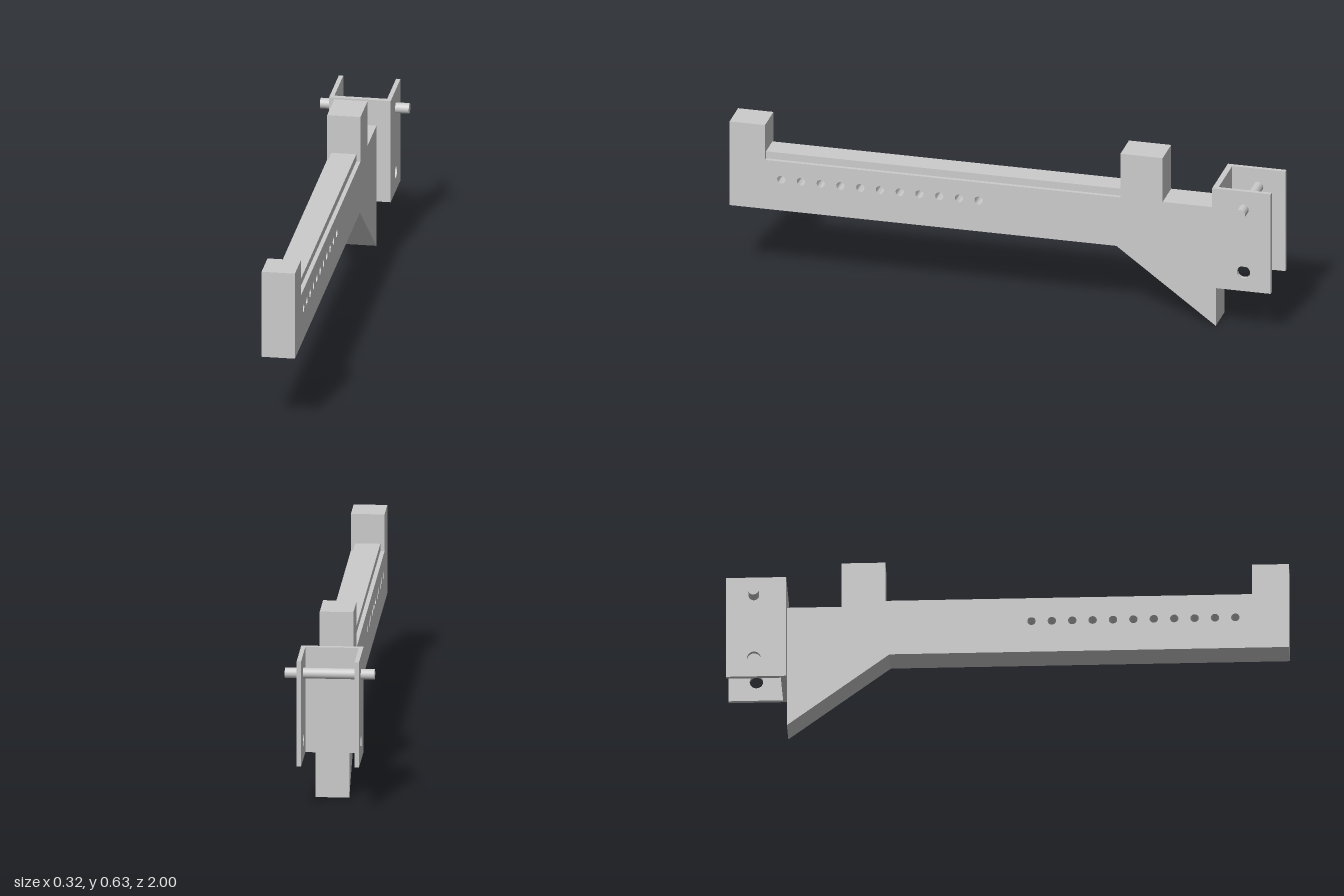
import * as THREE from 'three';
import { toCreasedNormals } from 'three/addons/utils/BufferGeometryUtils.js';

const material = new THREE.MeshStandardMaterial({ color: 0xcccccc });

function addPart(parent, name, geometry, x = 0, y = 0, z = 0) {
  const mesh = new THREE.Mesh(geometry, material);
  mesh.name = name;
  mesh.position.set(x, y, z);
  parent.add(mesh);
  return mesh;
}

// Side profile of [z, y] points with round [z, y, radius] holes, extruded across x and centred
function sidePlate(points, holes, width) {
  const shape = new THREE.Shape(points.map(([z, y]) => new THREE.Vector2(z, y)));
  for (const [z, y, r] of holes) {
    shape.holes.push(new THREE.Path().absarc(z, y, r, 0, Math.PI * 2, true));
  }
  const geometry = new THREE.ExtrudeGeometry(shape, { depth: width, bevelEnabled: false, curveSegments: 24 });
  geometry.rotateY(-Math.PI / 2).translate(width / 2, 0, 0);
  return toCreasedNormals(geometry, 0.6);
}

export function createModel() {
  const model = new THREE.Group();
  model.name = 'safetyArm';

  // Beam with end stop, rear post, gusset and a row of adjustment holes
  const profile = [
    [1, 0.27], [1, 0.595], [0.87, 0.595], [0.87, 0.46],
    [-0.435, 0.46], [-0.435, 0.63], [-0.59, 0.63], [-0.59, 0.46],
    [-0.785, 0.46], [-0.785, 0], [-0.42, 0.27],
  ];
  const holes = [];
  for (let i = 0; i < 11; i++) holes.push([0.085 + i * 0.0725, 0.39, 0.015]);
  addPart(model, 'beam', sidePlate(profile, holes, 0.12));

  // Protective strip lying between the two stops
  addPart(model, 'topStrip', new THREE.BoxGeometry(0.09, 0.027, 1.305), 0, 0.4735, 0.2175);

  // U-shaped mounting bracket, open to the back
  const bracket = new THREE.Group();
  bracket.name = 'bracket';
  model.add(bracket);
  const low = 0.17, high = 0.557, front = -0.785, back = -1, thick = 0.016, half = 0.111;
  addPart(bracket, 'bracketWeb',
    new THREE.BoxGeometry(2 * (half - thick), high - low, 0.02), 0, (low + high) / 2, front - 0.01);
  const cheek = sidePlate(
    [[front, low], [front, high], [back, high], [back, low]],
    [[-0.9, 0.487, 0.019], [-0.9, 0.243, 0.024]], thick);
  for (const side of [-1, 1]) {
    addPart(bracket, side > 0 ? 'leftCheek' : 'rightCheek', cheek, side * (half - thick / 2));
  }

  // Cross pin through the upper holes
  const pin = new THREE.CylinderGeometry(0.019, 0.019, 0.32, 32).rotateZ(Math.PI / 2);
  addPart(bracket, 'crossPin', pin, 0, 0.487, -0.9);

  return model;
}
